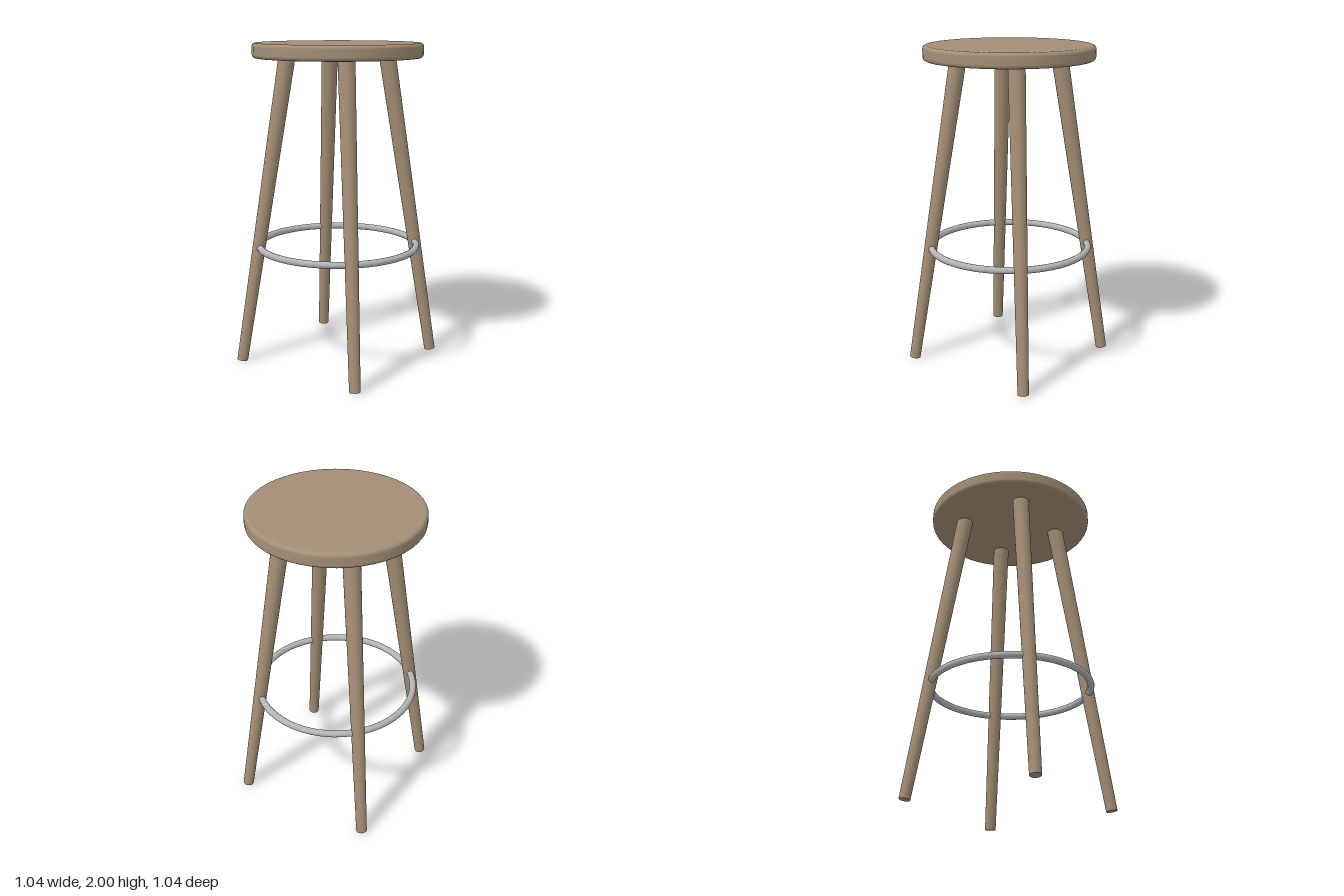
import * as THREE from 'three';

export function createModel() {
  const model = new THREE.Group();
  model.name = 'barStool';

  const wood = new THREE.MeshStandardMaterial({ color: 0xa38e76 });
  wood.name = 'wood';
  const steel = new THREE.MeshStandardMaterial({ color: 0xb4b4b6 });
  steel.name = 'steel';

  const add = (geometry, material, name) => {
    const mesh = new THREE.Mesh(geometry, material);
    mesh.name = name;
    model.add(mesh);
    return mesh;
  };

  // Round seat: a disc with softly rounded rims
  const R = 0.52, bottom = 1.91, top = 2, r = 0.022, steps = 5;
  const profile = [new THREE.Vector2(0, bottom), new THREE.Vector2(R - r - 0.002, bottom)];
  for (const [cy, start] of [[bottom + r, -Math.PI / 2], [top - r, 0]]) {
    for (let i = 0; i <= steps; i++) {
      const a = start + (i / steps) * Math.PI / 2;
      profile.push(new THREE.Vector2(R - r + r * Math.cos(a), cy + r * Math.sin(a)));
    }
  }
  profile.push(new THREE.Vector2(R - r - 0.002, top), new THREE.Vector2(0, top));
  add(new THREE.LatheGeometry(profile, 48), wood, 'seat');

  // Four splayed legs, tapering towards the floor and sunk into the seat
  const up = new THREE.Vector3(0, 1, 0);
  for (const [side, sx] of [['Left', 1], ['Right', -1]]) {
    for (const [end, sz] of [['front', 1], ['back', -1]]) {
      const foot = new THREE.Vector3(0.436 * sx, 0.0055, 0.436 * sz);
      const head = new THREE.Vector3(0.215 * sx, 1.95, 0.215 * sz);
      const axis = head.clone().sub(foot);
      const leg = add(new THREE.CylinderGeometry(0.052, 0.034, axis.length(), 24), wood, end + side + 'Leg');
      leg.position.copy(foot).add(head).multiplyScalar(0.5);
      leg.quaternion.setFromUnitVectors(up, axis.normalize());
    }
  }

  // Foot ring running through all four legs
  const ring = add(new THREE.TorusGeometry(0.495, 0.021, 12, 64), steel, 'footRing');
  ring.rotation.x = Math.PI / 2;
  ring.position.y = 0.743;

  return model;
}
